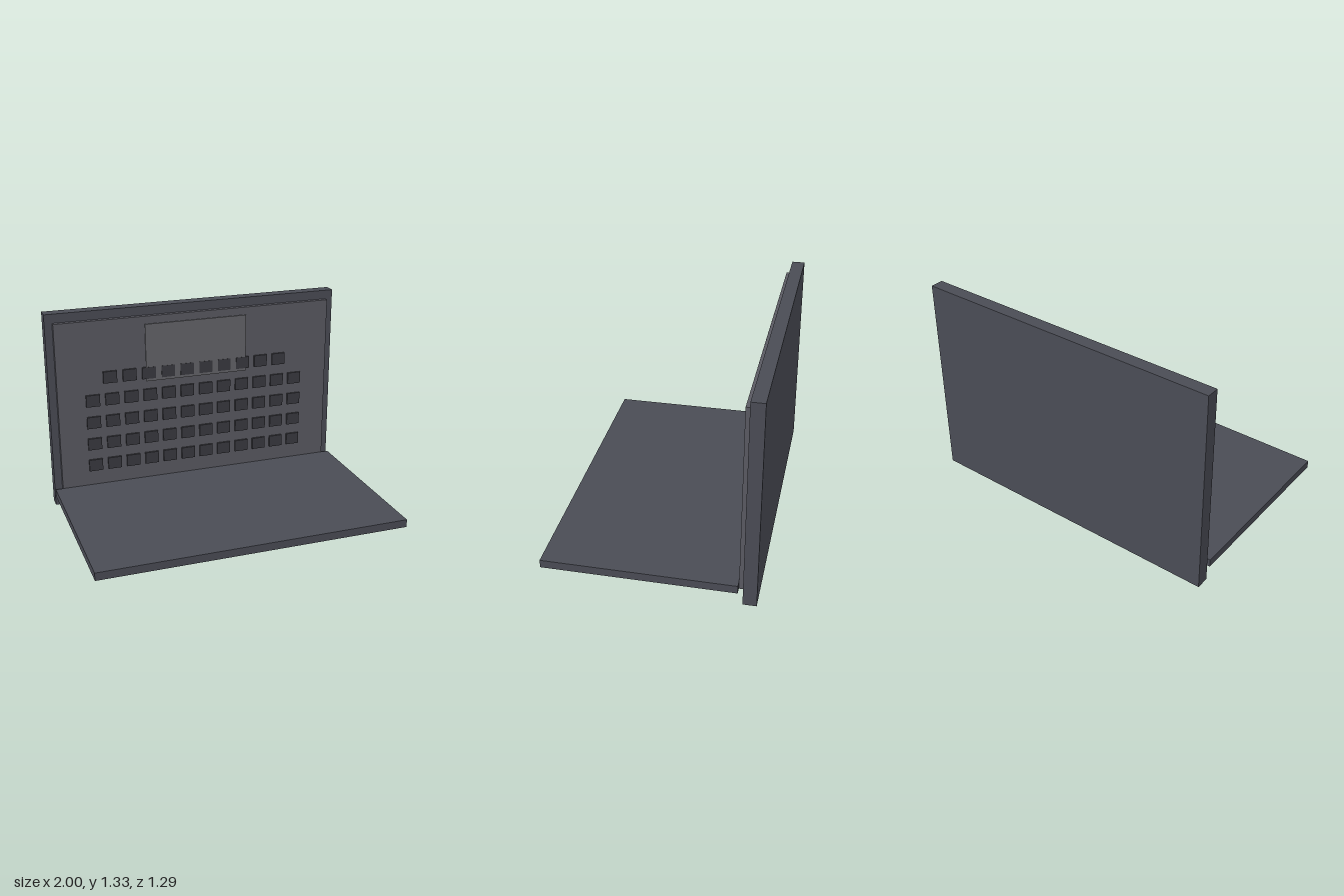
import * as THREE from 'three';

const material = (color) => new THREE.MeshStandardMaterial({ color });

// Box given by its limits along each axis
function slab(name, [x0, x1], [y0, y1], [z0, z1], mat) {
  const mesh = new THREE.Mesh(new THREE.BoxGeometry(x1 - x0, y1 - y0, z1 - z0), mat);
  mesh.position.set((x0 + x1) / 2, (y0 + y1) / 2, (z0 + z1) / 2);
  mesh.name = name;
  return mesh;
}

export function createModel() {
  const group = new THREE.Group();
  group.name = 'laptop';
  const shell = material(0x4a4c55);
  const keyMat = material(0x3a3a40);

  // Upright base with its keyboard deck and touchpad
  group.add(
    slab('base', [-1, 1], [0, 1.325], [-0.645, -0.563], shell),
    slab('keyboardDeck', [-0.95, 0.95], [0.07, 1.265], [-0.563, -0.533], material(0x5a5a62)),
    slab('touchpad', [-0.353, 0.349], [0.823, 1.214], [-0.529, -0.521], material(0x646569)),
  );

  // Flat lid with the bezel and screen underneath
  group.add(
    slab('lid', [-1, 1], [0.075, 0.126], [-0.533, 0.645], shell),
    slab('screenBezel', [-0.95, 0.95], [0.062, 0.075], [-0.486, 0.598], material(0x222328)),
    slab('screen', [-0.9, 0.9], [0.055, 0.063], [-0.428, 0.543], material(0x0c1014)),
  );

  // Four rows of twelve keys and a top row of ten
  const keys = new THREE.Group();
  keys.name = 'keys';
  const w = 0.046, h = 0.04;
  for (let row = 0; row < 5; row++) {
    const count = row === 4 ? 10 : 12;
    const pitch = row === 4 ? 0.132 : 0.13;
    const y = 0.27 + row * 0.1525;
    for (let i = 0; i < count; i++) {
      const x = (i - (count - 1) / 2) * pitch - 0.004;
      keys.add(slab('key', [x - w, x + w], [y - h, y + h], [-0.533, -0.519], keyMat));
    }
  }
  group.add(keys);
  return group;
}
